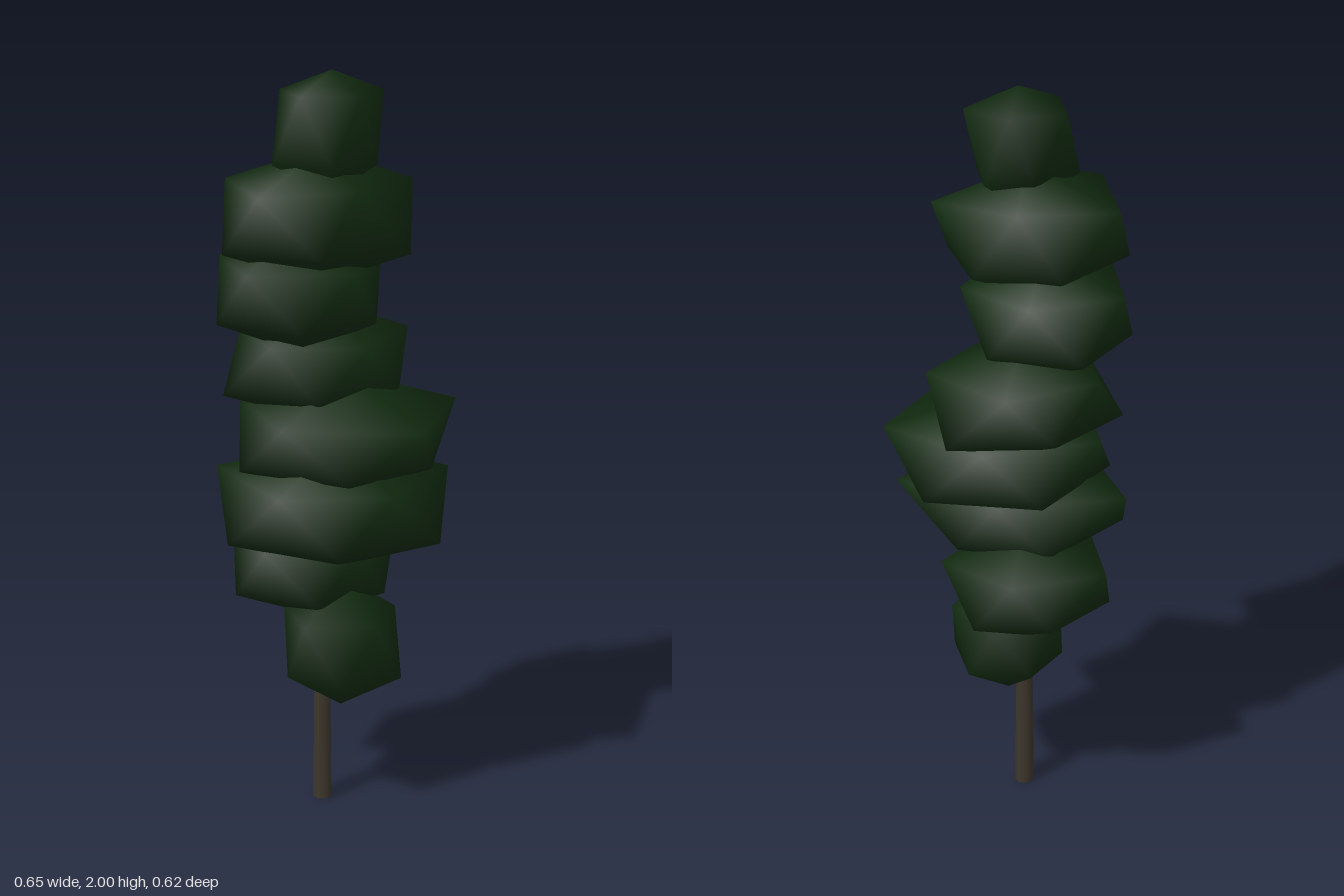
import * as THREE from 'three';

const leafGreen = new THREE.MeshStandardMaterial({ color: 0x11290f });
leafGreen.name = 'leaf green';
const barkBrown = new THREE.MeshStandardMaterial({ color: 0x3d372c });
barkBrown.name = 'bark brown';

const SIDES = 5;

// Irregular twenty-sided clump: a bottom point, a lower and an upper ring of
// five corners (half a step apart, each with its own radius) and a top point.
function leafClump({ x, z, heights, lower, upper }) {
  const [bottom, low, high, top] = heights;
  const points = [x, bottom, z];
  const addRing = (radii, y, shift) =>
    radii.forEach((r, i) => {
      const a = ((i + shift) / SIDES) * Math.PI * 2;
      points.push(x + r * Math.cos(a), y, z + r * Math.sin(a));
    });
  addRing(lower, low, 0.5);
  addRing(upper, high, 0);
  points.push(x, top, z);

  const faces = [];
  const apex = 1 + 2 * SIDES;
  for (let i = 0; i < SIDES; i++) {
    const j = (i + 1) % SIDES;
    const [l0, l1, u0, u1] = [1 + i, 1 + j, 1 + SIDES + i, 1 + SIDES + j];
    faces.push(0, l0, l1, l0, u1, l1, u0, u1, l0, apex, u1, u0);
  }

  const geo = new THREE.BufferGeometry();
  geo.setAttribute('position', new THREE.Float32BufferAttribute(points, 3));
  geo.setIndex(faces);
  geo.computeVertexNormals();
  return new THREE.Mesh(geo, leafGreen);
}

// Foliage tiers from bottom to top
const tiers = [
  { x: -0.01, z: 0.03, heights: [0.28, 0.375, 0.545, 0.65],
    lower: [0.17, 0.158, 0.15, 0.137, 0.15], upper: [0.155, 0.158, 0.167, 0.16, 0.158] },
  { x: -0.04, z: -0.08, heights: [0.5, 0.585, 0.74, 0.83],
    lower: [0.19, 0.19, 0.23, 0.16, 0.19], upper: [0.225, 0.19, 0.24, 0.24, 0.2] },
  { x: -0.02, z: 0.04, heights: [0.68, 0.77, 0.93, 1.03],
    lower: [0.28, 0.23, 0.305, 0.22, 0.2], upper: [0.31, 0.24, 0.27, 0.34, 0.23] },
  { x: 0.02, z: 0, heights: [0.87, 0.955, 1.105, 1.2],
    lower: [0.23, 0.24, 0.3, 0.26, 0.27], upper: [0.305, 0.325, 0.3, 0.3, 0.235] },
  { x: -0.03, z: -0.09, heights: [1.05, 1.14, 1.29, 1.38],
    lower: [0.22, 0.215, 0.265, 0.19, 0.27], upper: [0.25, 0.22, 0.22, 0.22, 0.235] },
  { x: -0.09, z: -0.04, heights: [1.25, 1.345, 1.5, 1.59],
    lower: [0.2, 0.23, 0.235, 0.225, 0.2], upper: [0.215, 0.23, 0.25, 0.23, 0.21] },
  { x: -0.06, z: 0.02, heights: [1.45, 1.54, 1.71, 1.8],
    lower: [0.24, 0.19, 0.265, 0.2, 0.2], upper: [0.25, 0.16, 0.27, 0.26, 0.16] },
  { x: -0.035, z: 0.035, heights: [1.68, 1.765, 1.945, 2],
    lower: [0.12, 0.13, 0.16, 0.095, 0.12], upper: [0.14, 0.125, 0.14, 0.14, 0.127] },
];

export function createModel() {
  const tree = new THREE.Group();
  tree.name = 'tree';

  // Trunk, running up inside the foliage
  const trunk = new THREE.Mesh(new THREE.CylinderGeometry(0.018, 0.026, 1, 8), barkBrown);
  trunk.position.set(-0.05, 0.5, -0.008);
  trunk.name = 'trunk';
  tree.add(trunk);

  const foliage = new THREE.Group();
  foliage.name = 'foliage';
  tiers.forEach((tier, i) => {
    const clump = leafClump(tier);
    clump.name = `leafClump${i + 1}`;
    foliage.add(clump);
  });
  tree.add(foliage);

  return tree;
}
